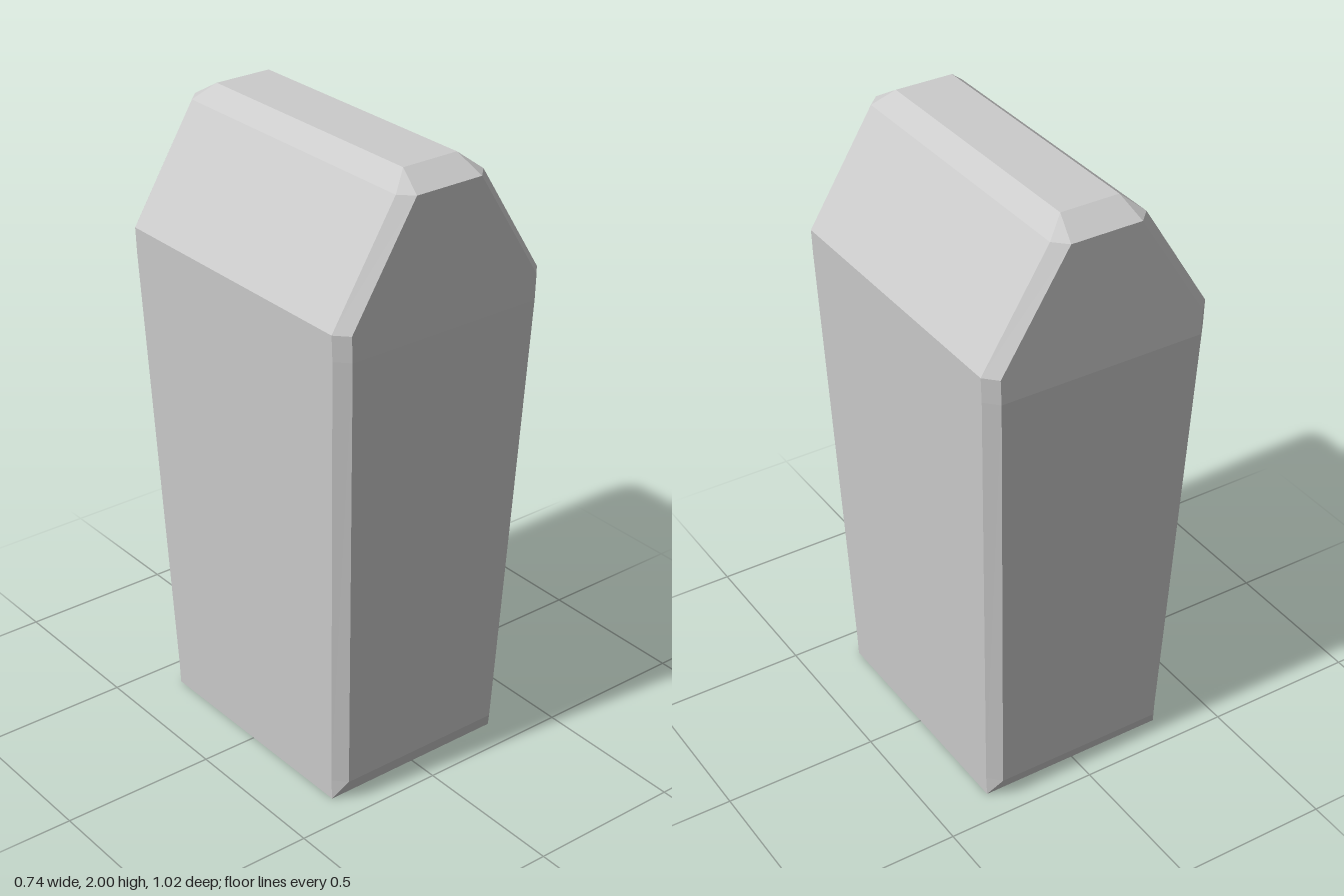
import * as THREE from 'three';

// Chamfered cross-sections: height, outer x, chamfer x, outer z, chamfer z
const LEVELS = [
  [0.00, 0.315, 0.315, 0.40, 0.40],
  [0.07, 0.318, 0.282, 0.44, 0.40],
  [1.52, 0.369, 0.331, 0.51, 0.47],
  [1.60, 0.372, 0.334, 0.51, 0.47],
  [1.95, 0.155, 0.115, 0.51, 0.47],
  [2.00, 0.095, 0.095, 0.427, 0.427],
];

// Eight corners of one section, anticlockwise from above
function section([y, xo, xi, zo, zi]) {
  return [
    [-xi, zo], [xi, zo], [xo, zi], [xo, -zi],
    [xi, -zo], [-xi, -zo], [-xo, -zi], [-xo, zi],
  ].map(([x, z]) => new THREE.Vector3(x, y, z));
}

function loft(rings) {
  const points = [];
  // Skip collapsed triangles where a chamfer runs out into a corner
  const tri = (a, b, c) => {
    if (new THREE.Triangle(a, b, c).getArea() > 1e-7) points.push(a, b, c);
  };
  const n = rings[0].length;
  for (let r = 0; r < rings.length - 1; r++) {
    for (let i = 0; i < n; i++) {
      const j = (i + 1) % n;
      tri(rings[r][i], rings[r][j], rings[r + 1][j]);
      tri(rings[r][i], rings[r + 1][j], rings[r + 1][i]);
    }
  }
  // Flat bottom and top
  const bottom = rings[0], top = rings[rings.length - 1];
  for (let i = 1; i < n - 1; i++) {
    tri(bottom[0], bottom[i + 1], bottom[i]);
    tri(top[0], top[i], top[i + 1]);
  }
  const geometry = new THREE.BufferGeometry().setFromPoints(points);
  geometry.computeVertexNormals();
  return geometry;
}

export function createModel() {
  const group = new THREE.Group();
  group.name = 'chamferedPillar';
  const material = new THREE.MeshStandardMaterial({ color: 0xcccccc, flatShading: true });

  // Tapered body with a sloped roof and bevelled edges
  const body = new THREE.Mesh(loft(LEVELS.map(section)), material);
  body.name = 'body';
  group.add(body);
  return group;
}
